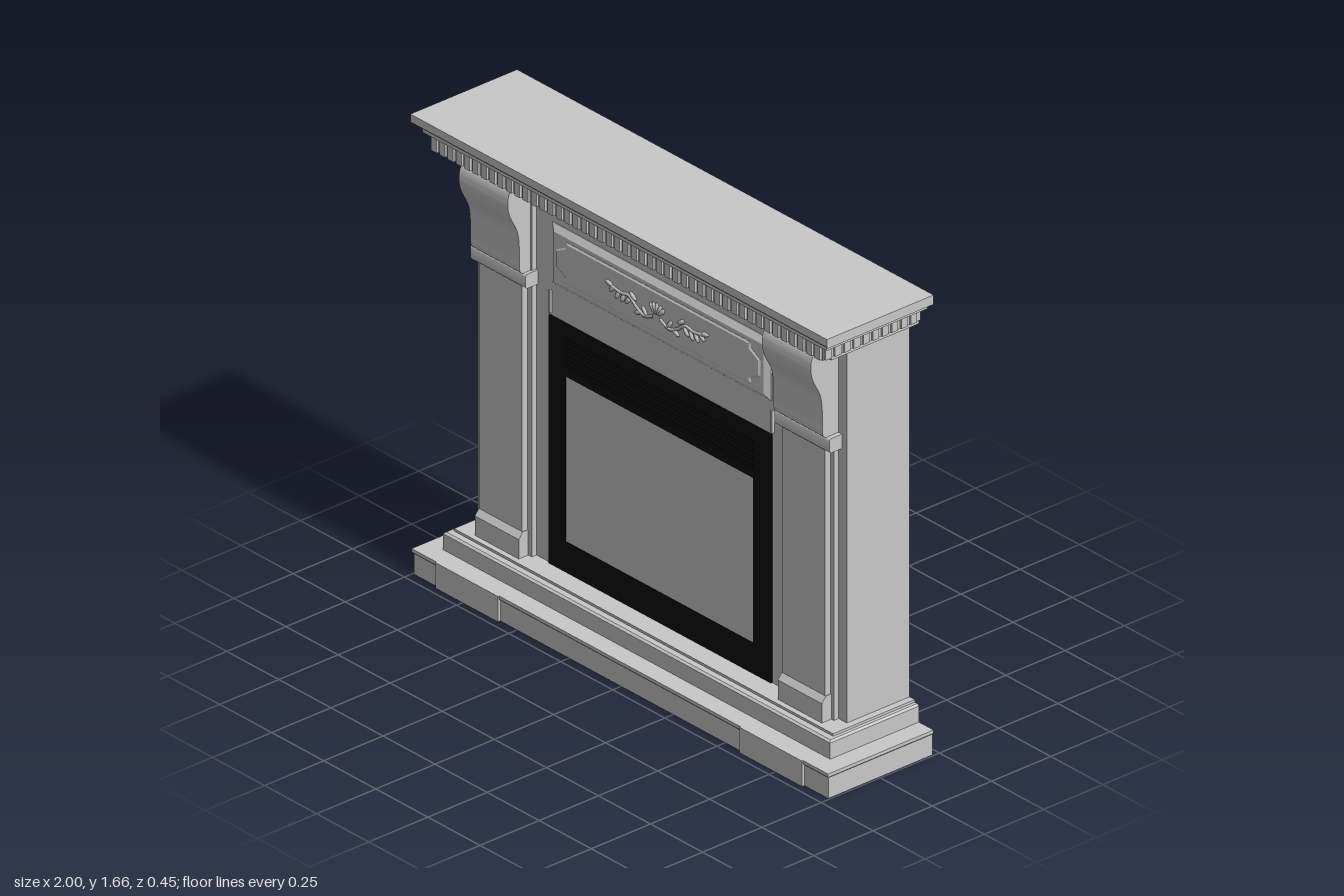
import * as THREE from 'three';
import { mergeGeometries, toCreasedNormals } from 'three/addons/utils/BufferGeometryUtils.js';

const BACK = -0.225;
const stone = new THREE.MeshStandardMaterial({ color: 0xc8c8c9 });
stone.name = 'pale grey';
const black = new THREE.MeshStandardMaterial({ color: 0x0a0a0a });
black.name = 'black';

export function createModel() {
  const model = new THREE.Group();
  model.name = 'fireplace';

  const add = (name, geometry, material = stone, parent = model) => {
    const mesh = new THREE.Mesh(geometry, material);
    mesh.name = name;
    parent.add(mesh);
    return mesh;
  };
  const box = (x0, x1, y0, y1, z0, z1) =>
    new THREE.BoxGeometry(x1 - x0, y1 - y0, z1 - z0)
      .translate((x0 + x1) / 2, (y0 + y1) / 2, (z0 + z1) / 2);

  // Mitred moulding with a flat back: rows of [half width, front z, y], bottom to top
  function moulding(rows) {
    const pos = [];
    const ring = ([w, z, y]) => [[-w, y, z], [w, y, z], [w, y, BACK], [-w, y, BACK]];
    const quad = (a, b, c, d) => pos.push(...a, ...b, ...c, ...a, ...c, ...d);
    const rings = rows.map(ring);
    for (let i = 0; i < rings.length - 1; i++) {
      const lo = rings[i], hi = rings[i + 1];
      for (let k = 0; k < 4; k++) {
        const n = (k + 1) % 4;
        quad(lo[k], lo[n], hi[n], hi[k]);
      }
    }
    const b = rings[0], t = rings[rings.length - 1];
    quad(b[3], b[2], b[1], b[0]);
    quad(t[0], t[1], t[2], t[3]);
    const g = new THREE.BufferGeometry();
    g.setAttribute('position', new THREE.Float32BufferAttribute(pos, 3));
    g.computeVertexNormals();
    return g;
  }

  // Extrude a side profile of (z, y) points across x
  function acrossX(shape, x0, x1) {
    const g = new THREE.ExtrudeGeometry(shape, { depth: x1 - x0, bevelEnabled: false, curveSegments: 10 });
    return toCreasedNormals(g.rotateY(-Math.PI / 2).translate(x1, 0, 0), 0.6);
  }

  // Stepped base
  add('plinth', moulding([[0.995, 0.215, 0], [0.995, 0.215, 0.075], [1, 0.22, 0.08], [1, 0.22, 0.092]]));
  add('baseStep', moulding([
    [0.93, 0.15, 0.09], [0.93, 0.15, 0.15], [0.922, 0.142, 0.156],
    [0.91, 0.12, 0.156], [0.91, 0.12, 0.165],
  ]));

  // Main body
  add('body', box(-0.885, 0.885, 0.16, 1.535, BACK, 0.04));

  // Cornice and mantel shelf
  add('cornice', moulding([
    [0.93, 0.145, 1.528], [0.93, 0.145, 1.545], [0.938, 0.188, 1.545], [0.938, 0.188, 1.598],
    [0.97, 0.2, 1.598], [0.97, 0.2, 1.607], [0.985, 0.21, 1.626],
    [1, 0.22, 1.626], [1, 0.225, 1.632], [1, 0.225, 1.66],
  ]));
  const teeth = [];
  const pitch = 0.04, half = 0.013;
  for (let i = -23; i <= 23; i++) {
    const x = i * pitch;
    teeth.push(box(x - half, x + half, 1.547, 1.599, 0.18, 0.197));
  }
  for (const side of [-1, 1]) {
    for (let i = 0; i < 10; i++) {
      const z = 0.17 - i * pitch;
      const x = side * 0.938;
      teeth.push(box(x - 0.008, x + 0.008, 1.547, 1.599, z - half, z + half));
    }
  }
  add('dentils', mergeGeometries(teeth));

  // Scroll profile of the corbels
  const corbelShape = new THREE.Shape();
  corbelShape.moveTo(0.02, 1.195);
  corbelShape.lineTo(0.09, 1.195);
  corbelShape.bezierCurveTo(0.105, 1.2, 0.108, 1.21, 0.107, 1.23);
  corbelShape.bezierCurveTo(0.108, 1.3, 0.108, 1.33, 0.118, 1.36);
  corbelShape.bezierCurveTo(0.135, 1.4, 0.157, 1.42, 0.157, 1.47);
  corbelShape.bezierCurveTo(0.155, 1.505, 0.145, 1.52, 0.125, 1.53);
  corbelShape.lineTo(0.02, 1.53);

  // Bevelled foot of the pilasters
  const footShape = new THREE.Shape();
  [[0.02, 0.16], [0.1, 0.16], [0.1, 0.235], [0.083, 0.256], [0.02, 0.256]]
    .forEach(([z, y], i) => (i ? footShape.lineTo(z, y) : footShape.moveTo(z, y)));

  // Rounded band below the corbels
  const bandShape = new THREE.Shape();
  bandShape.moveTo(0.02, 1.145);
  bandShape.lineTo(0.085, 1.145);
  bandShape.quadraticCurveTo(0.093, 1.147, 0.093, 1.155);
  bandShape.lineTo(0.093, 1.187);
  bandShape.quadraticCurveTo(0.093, 1.195, 0.085, 1.197);
  bandShape.lineTo(0.02, 1.197);

  for (const side of [-1, 1]) {
    const post = new THREE.Group();
    post.name = side > 0 ? 'leftPilaster' : 'rightPilaster';
    model.add(post);
    const span = (a, b) => (side > 0 ? [a, b] : [-b, -a]);
    add('pilasterBacking', box(...span(0.605, 0.845), 0.16, 1.53, 0, 0.06), stone, post);
    add('pilasterShaft', box(...span(0.625, 0.83), 0.16, 1.2, 0, 0.083), stone, post);
    add('pilasterFoot', acrossX(footShape, ...span(0.622, 0.833)), stone, post);
    add('corbelBand', acrossX(bandShape, ...span(0.597, 0.862)), stone, post);
    add('corbel', acrossX(corbelShape, ...span(0.61, 0.845)), stone, post);
    add('plinthBlock', box(...span(0.58, 0.88), 0, 0.092, 0.1, 0.225), stone, post);
    // Short beads beside the frieze
    for (const [y0, y1] of [[1.43, 1.525], [1.07, 1.15]])
      add('friezeBead', box(...span(0.53, 0.538), y0, y1, 0.03, 0.05), stone, post);
  }

  // Raised frieze panel with an inner field with cut corners
  function raisedPanel(points, z0, z1, bevel) {
    const shape = new THREE.Shape(points.map(([x, y]) => new THREE.Vector2(x, y)));
    return new THREE.ExtrudeGeometry(shape, {
      depth: z1 - z0 - bevel, bevelThickness: bevel, bevelSize: bevel * 1.5,
      bevelOffset: -bevel * 1.5, bevelSegments: 1,
    }).translate(0, 0, z0);
  }
  add('friezePanel', raisedPanel([[-0.525, 1.18], [0.525, 1.18], [0.525, 1.4], [-0.525, 1.4]], 0.03, 0.057, 0.014));
  const w = 0.49, c = 0.045, y0 = 1.215, y1 = 1.365;
  add('friezeField', raisedPanel([
    [-w + c, y0], [w - c, y0], [w - c, y0 + 0.02], [w, y0 + c], [w, y1 - c], [w - c, y1 - 0.02],
    [w - c, y1], [-w + c, y1], [-w + c, y1 - 0.02], [-w, y1 - c], [-w, y0 + c], [-w + c, y0 + 0.02],
  ], 0.05, 0.062, 0.004));

  // Carved leaf ornament: a centre fan with mirrored scrolls and leaves
  const leaf = (x, y, length, width, angle) =>
    new THREE.SphereGeometry(1, 10, 6).scale(length, width, 0.007).rotateZ(angle).translate(x, y, 0.063);
  const carving = [];
  for (const a of [-0.8, -0.4, 0, 0.4, 0.8])
    carving.push(leaf(Math.sin(a) * 0.028, 1.285 + Math.cos(a) * 0.022, 0.022, 0.008, Math.PI / 2 - a));
  for (const s of [-1, 1]) {
    const path = new THREE.CatmullRomCurve3(
      [[0.015, 1.275], [0.06, 1.258], [0.1, 1.275], [0.135, 1.3], [0.175, 1.295], [0.235, 1.305]]
        .map(([x, y]) => new THREE.Vector3(s * x, y, 0.063)));
    carving.push(new THREE.TubeGeometry(path, 28, 0.006, 6));
    for (const [x, y, a] of [[0.06, 1.275, 0.9], [0.09, 1.258, -0.5], [0.115, 1.305, 0.6],
      [0.14, 1.28, -0.8], [0.165, 1.278, -1.1], [0.19, 1.28, -1], [0.215, 1.292, -0.7], [0.23, 1.307, 0.2]])
      carving.push(leaf(s * x, y, 0.019, 0.008, s * a));
  }
  add('leafCarving', mergeGeometries(carving));

  // Black firebox surround with its flat screen
  const frame = new THREE.Shape();
  frame.moveTo(-0.54, 0.165).lineTo(0.527, 0.165).lineTo(0.527, 1.06).lineTo(-0.54, 1.06).closePath();
  const opening = new THREE.Path();
  opening.moveTo(-0.46, 0.275).lineTo(-0.46, 0.87).lineTo(0.442, 0.87).lineTo(0.442, 0.275).closePath();
  frame.holes.push(opening);
  add('fireboxSurround',
    new THREE.ExtrudeGeometry(frame, { depth: 0.015, bevelEnabled: false }).translate(0, 0, 0.031), black);
  add('screen', box(-0.46, 0.442, 0.275, 0.87, 0.03, 0.044));

  // Vent slats above the screen
  const slats = [];
  for (let i = 0; i < 4; i++) {
    const y = 0.905 + i * 0.03;
    slats.push(box(-0.46, 0.442, y, y + 0.012, 0.042, 0.049));
  }
  add('ventSlats', mergeGeometries(slats), black);

  return model;
}
